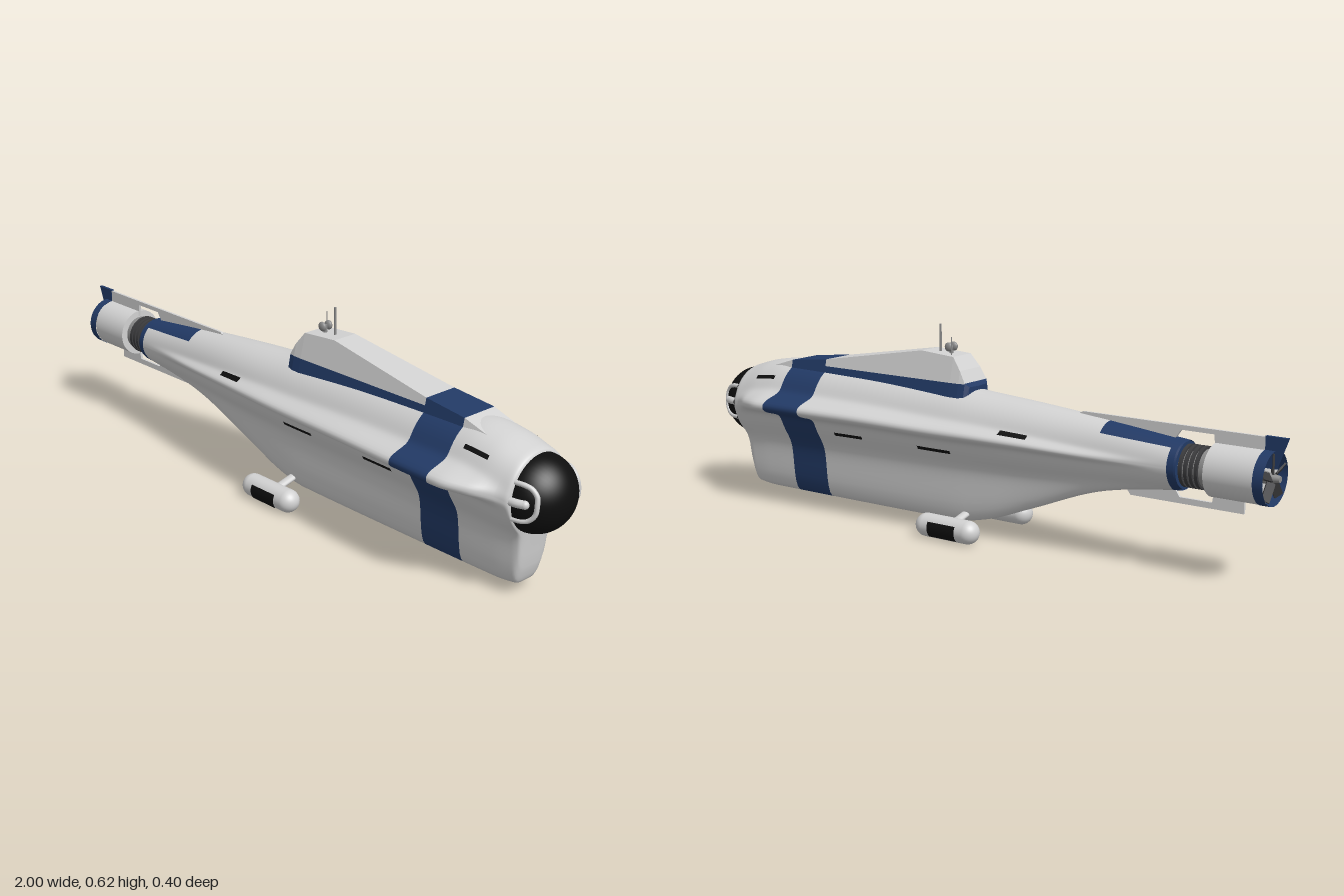
import * as THREE from 'three';

const mat = (name, color, side = THREE.FrontSide) => {
  const m = new THREE.MeshStandardMaterial({ color, side });
  m.name = name;
  return m;
};

// Hull stations: x, centre y, top y, half width, lower depth, sponson width, sponson half height, keel y, keel half width
const ROWS = [
  [-0.70, 0.305, 0.373, 0.071, 0.068, 0.03, 0.010, 0.255, 0.03],
  [-0.46, 0.308, 0.398, 0.080, 0.085, 0.084, 0.014, 0.205, 0.04],
  [-0.20, 0.318, 0.420, 0.100, 0.110, 0.125, 0.020, 0.105, 0.05],
  [-0.05, 0.322, 0.430, 0.109, 0.118, 0.144, 0.024, 0.050, 0.057],
  [0.05, 0.323, 0.438, 0.113, 0.121, 0.153, 0.026, 0.032, 0.06],
  [0.40, 0.330, 0.452, 0.120, 0.135, 0.182, 0.030, 0.030, 0.063],
  [0.72, 0.330, 0.455, 0.124, 0.140, 0.198, 0.032, 0.030, 0.065],
  [0.80, 0.325, 0.445, 0.123, 0.138, 0.168, 0.030, 0.030, 0.064],
  [0.87, 0.312, 0.426, 0.118, 0.128, 0.105, 0.028, 0.036, 0.06],
  [0.89, 0.307, 0.419, 0.117, 0.119, 0.090, 0.025, 0.090, 0.057],
  [0.90, 0.303, 0.412, 0.112, 0.112, 0.080, 0.020, 0.200, 0.05],
  [0.903, 0.303, 0.400, 0.098, 0.098, 0.060, 0.020, 0.230, 0.04],
];

// Monotone cubic blend between stations
function station(x) {
  let i = 0;
  while (i < ROWS.length - 2 && x > ROWS[i + 1][0]) i++;
  const slope = (k, c) => (ROWS[k + 1][c] - ROWS[k][c]) / (ROWS[k + 1][0] - ROWS[k][0]);
  const tangent = (k, c) => {
    if (k === 0) return slope(0, c);
    if (k === ROWS.length - 1) return slope(k - 1, c);
    const a = slope(k - 1, c), b = slope(k, c);
    return a * b <= 0 ? 0 : 2 * a * b / (a + b);
  };
  const h = ROWS[i + 1][0] - ROWS[i][0], t = (x - ROWS[i][0]) / h, t2 = t * t, t3 = t2 * t;
  return ROWS[i].map((v, c) => (2 * t3 - 3 * t2 + 1) * v + (t3 - 2 * t2 + t) * h * tangent(i, c)
    + (3 * t2 - 2 * t3) * ROWS[i + 1][c] + (t3 - t2) * h * tangent(i + 1, c));
}

// Section = smooth union of an oval, a flat sponson and a deep keel
const oval = (u, v, n) => (Math.abs(u) ** n + Math.abs(v) ** n) ** (-1 / n);
function hullPoint(x, angle, offset = 0) {
  const [, yc, top, R, low, w, h, keelY, kw] = station(x);
  const c = Math.cos(angle), s = Math.sin(angle), p = 5;
  const body = oval(c / R, s / (s > 0 ? top - yc : low), 2);
  const sponson = oval(c / w, s / h, 2.6);
  const keel = s < 0 ? oval(c / kw, s / (yc - keelY), 5) : 0;
  const r = (body ** p + sponson ** p + keel ** p) ** (1 / p) + offset;
  return [x, yc + r * s, r * c];
}
function angleAt(x, y) {
  let a = -Math.PI / 2, b = Math.PI / 2;
  for (let k = 0; k < 30; k++) {
    const m = (a + b) / 2;
    if (hullPoint(x, m)[1] < y) a = m; else b = m;
  }
  return a;
}

// Skin a grid of points; pick(i, j) gives the material index of each cell
function loft(grid, closed, pick, flat = false) {
  const n = grid[0].length, lists = [[], []];
  for (let i = 0; i < grid.length - 1; i++)
    for (let j = 0; j < (closed ? n : n - 1); j++) {
      const k = (j + 1) % n, a = i * n + j, b = a + n, c = (i + 1) * n + k, d = i * n + k;
      lists[pick(i, j)].push(a, b, c, a, c, d);
    }
  let g = new THREE.BufferGeometry();
  g.setAttribute('position', new THREE.Float32BufferAttribute(grid.flat(2), 3));
  g.setIndex([...lists[0], ...lists[1]]);
  if (flat) g = g.toNonIndexed();
  g.addGroup(0, lists[0].length, 0);
  g.addGroup(lists[0].length, lists[1].length, 1);
  g.computeVertexNormals();
  return g;
}

export function createModel() {
  const model = new THREE.Group();
  const white = mat('hull white', 0xd2d2d2, THREE.DoubleSide);
  const blue = mat('navy blue', 0x223a66, THREE.DoubleSide);
  const black = mat('glass black', 0x0e0e0e, THREE.DoubleSide);
  const dark = mat('dark grey', 0x3c3c3e);
  const grey = mat('mid grey', 0x8c8c8c);
  const add = (name, geometry, material, parent = model) => {
    const m = new THREE.Mesh(geometry, material);
    m.name = name;
    parent.add(m);
    return m;
  };
  const barrel = (name, x0, x1, y, r0, r1, material, open = false) => {
    const g = new THREE.CylinderGeometry(r1, r0, x1 - x0, 48, 1, open).rotateZ(-Math.PI / 2);
    return add(name, g.translate((x0 + x1) / 2, y, 0), material);
  };
  const plate = (name, pts, material, t = 0.008) => {
    const shape = new THREE.Shape(pts.map(p => new THREE.Vector2(...p)));
    return add(name, new THREE.ExtrudeGeometry(shape, { depth: t, bevelEnabled: false }).translate(0, 0, -t / 2), material);
  };

  // Hull with painted band, tail ring and rear deck patch
  const xs = [-0.70], N = 180;
  for (const [end, n] of [[-0.68, 1], [-0.46, 8], [0.55, 32], [0.69, 8], [0.86, 14], [0.903, 10]]) {
    const start = xs[xs.length - 1];
    for (let k = 1; k <= n; k++) xs.push(start + (end - start) * k / n);
  }
  const ring = Array.from({ length: N }, (_, j) => j / N * 2 * Math.PI);
  add('hull', loft(xs.map(x => ring.map(a => hullPoint(x, a))), true, (i, j) => {
    const x = (xs[i] + xs[i + 1]) / 2;
    const deck = x < -0.46 && Math.abs(ring[j] + Math.PI / N - Math.PI / 2) < 0.74;
    return x < -0.68 || deck || (x > 0.55 && x < 0.69) ? 1 : 0;
  }), [white, blue]);

  // Sail: trapezoid sections (x, width scale, top y)
  const sail = [[-0.004, 0, 0.445], [0, 0.7, 0.446], [0.01, 0.9, 0.457], [0.03, 0.97, 0.492], [0.06, 1, 0.53],
    [0.18, 1, 0.538], [0.55, 1, 0.476], [0.69, 1, 0.461], [0.85, 0.8, 0.41]];
  const sailGrid = sail.map(([x, k, top]) => {
    const ys = [0.39, Math.min(0.455, top), top];
    const half = ys.map(y => [x, y, k * (0.066 - (y - 0.43) * 0.23)]);
    return [...half, ...half.slice().reverse().map(([a, b, c]) => [a, b, -c])];
  });
  add('sail', loft(sailGrid, false, (i, j) =>
    (i === 6 || i < 2 || (i < 6 && (j === 0 || j === 4))) ? 1 : 0, true), [white, blue]);

  // Masts and lookout sensor on the sail
  const mast = (name, x, z, y0, y1, r) =>
    add(name, new THREE.CylinderGeometry(r, r, y1 - y0, 10).translate(x, (y0 + y1) / 2, z), grey);
  mast('periscope', 0.14, 0, 0.53, 0.617, 0.0035);
  mast('antenna', 0.08, -0.025, 0.52, 0.585, 0.002);
  mast('sensorPost', 0.1, 0, 0.53, 0.555, 0.006);
  for (const s of [1, -1])
    add('sensorHead', new THREE.SphereGeometry(0.014, 16, 12).scale(1, 1, 0.6).translate(0.1, 0.552, s * 0.012), grey);

  // Nose dome and side window frames
  const dome = { x: 0.895, y: 0.301, r: 0.11, len: 0.105 };
  add('noseDome', new THREE.SphereGeometry(1, 48, 24, 0, Math.PI * 2, 0, Math.PI / 2).rotateZ(-Math.PI / 2)
    .scale(dome.len, dome.r, dome.r).translate(dome.x, dome.y, 0), black);
  const onDome = (x, y, s) => new THREE.Vector3(x, y,
    s * dome.r * Math.sqrt(1 - ((x - dome.x) / dome.len) ** 2 - ((y - dome.y) / dome.r) ** 2));
  const frame = [[0.897, 0.358], [0.925, 0.357], [0.945, 0.35], [0.96, 0.332], [0.963, 0.31],
    [0.96, 0.285], [0.945, 0.266], [0.925, 0.259], [0.897, 0.258]];
  const bar = [[0.897, 0.31], [0.915, 0.31], [0.937, 0.31]];
  for (const s of [1, -1]) {
    const tube = (pts, r) => new THREE.TubeGeometry(
      new THREE.CatmullRomCurve3(pts.map(([x, y]) => onDome(x, y, s))), 40, r, 10);
    add('windowFrame', tube(frame, 0.007), white);
    add('windowBar', tube(bar, 0.012), white);
    add('windowBarTip', new THREE.SphereGeometry(0.012, 16, 12).translate(...onDome(0.937, 0.31, s).toArray()), white);
  }

  // Flush vent slots along both sides
  for (const [x, y, len] of [[-0.2, 0.34, 0.09], [0.09, 0.258, 0.12], [0.42, 0.258, 0.11], [0.77, 0.402, 0.08]]) {
    const a0 = angleAt(x, y - 0.005), a1 = angleAt(x, y + 0.005);
    for (const [b0, b1] of [[a0, a1], [Math.PI - a1, Math.PI - a0]]) {
      const grid = [0, 1, 2, 3, 4].map(i => [0, 1, 2, 3].map(j =>
        hullPoint(x + len * (i / 4 - 0.5), b0 + (b1 - b0) * j / 3, 0.003)));
      add('ventSlot', loft(grid, false, () => 0), [black, black]);
    }
  }

  // Outrigger pods
  for (const s of [1, -1]) {
    const pod = new THREE.Group();
    pod.name = 'outriggerPod';
    pod.position.x = 0.012;
    pod.rotation.y = s > 0 ? 0 : Math.PI;
    model.add(pod);
    add('podBody', new THREE.CapsuleGeometry(0.035, 0.15, 12, 32).rotateZ(Math.PI / 2).translate(0, 0.037, 0.136), white, pod);
    add('podPanel', new THREE.CylinderGeometry(0.0365, 0.0365, 0.1, 16, 1, true, -0.85, 1.4)
      .rotateZ(Math.PI / 2).translate(0, 0.037, 0.136), black, pod);
    add('podStrut', new THREE.CylinderGeometry(0.009, 0.009, 0.09, 16).scale(1.6, 1, 1)
      .rotateX(Math.PI / 2 + 0.25).translate(0, 0.052, 0.083), white, pod);
  }

  // Drive neck, shroud and propeller
  const axis = 0.304;
  barrel('tailCollar', -0.704, -0.69, axis, 0.066, 0.069, blue);
  barrel('driveNeck', -0.80, -0.69, axis, 0.053, 0.053, grey);
  for (let k = 0; k < 4; k++)
    barrel('neckRing', -0.766 + k * 0.016, -0.756 + k * 0.016, axis, 0.06, 0.06, dark);
  barrel('shroud', -0.935, -0.79, axis, 0.074, 0.074, white);
  barrel('shroudLip', -0.965, -0.935, axis, 0.075, 0.075, blue, true);
  barrel('propellerHub', -0.98, -0.93, axis, 0.009, 0.018, grey);
  for (let k = 0; k < 5; k++)
    add('propellerBlade', new THREE.BoxGeometry(0.005, 0.055, 0.026).rotateY(0.6).translate(0, 0.04, 0)
      .rotateX(k * Math.PI * 0.4).translate(-0.957, axis, 0), dark);

  // Tail fins and rudder
  plate('upperFin', [[-0.94, 0.413], [-0.94, 0.36], [-0.79, 0.36], [-0.785, 0.4], [-0.685, 0.4], [-0.66, 0.365],
    [-0.37, 0.39], [-0.36, 0.408], [-0.37, 0.413]], white);
  plate('lowerFin', [[-0.88, 0.195], [-0.53, 0.195], [-0.5, 0.235], [-0.66, 0.25], [-0.685, 0.212],
    [-0.785, 0.212], [-0.79, 0.25], [-0.88, 0.25]], white);
  plate('rudder', [[-1, 0.416], [-0.935, 0.416], [-0.935, 0.33], [-0.968, 0.33]], blue, 0.0095);
  return model;
}
